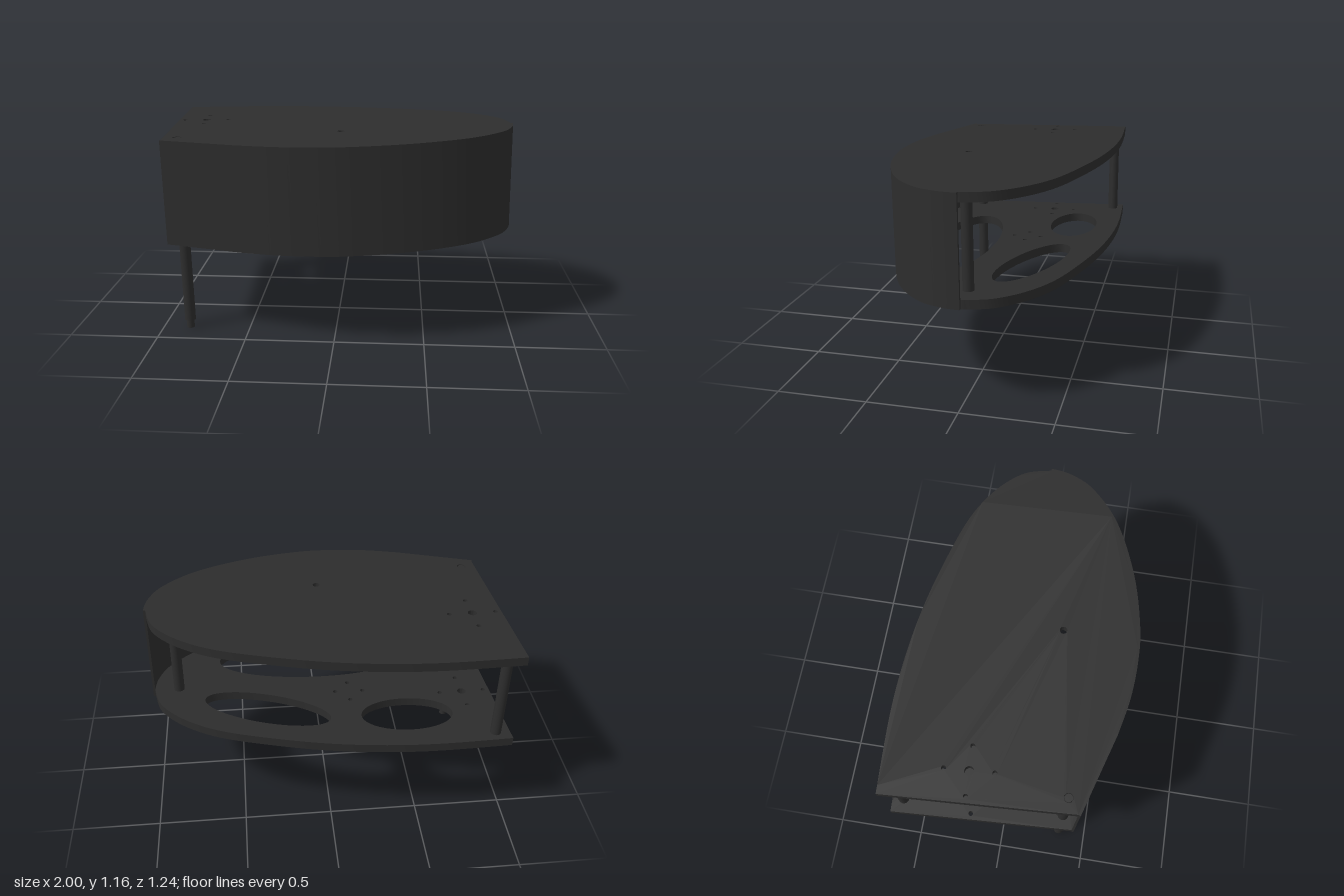
import * as THREE from 'three';
import { toCreasedNormals } from 'three/addons/utils/BufferGeometryUtils.js';

const V = (x, z) => new THREE.Vector2(x, z);

// Plan points are (x, z); shapes use (x, -z) so that extrusion goes upwards.
const toShape = pts => new THREE.Shape(pts.map(p => V(p.x, -p.y)));

function extrude(shape, bottom, top) {
  const geo = new THREE.ExtrudeGeometry(shape, { depth: top - bottom, bevelEnabled: false, curveSegments: 32 });
  geo.rotateX(-Math.PI / 2).translate(0, bottom, 0);
  return toCreasedNormals(geo, 0.5);
}

function addHole(shape, x, z, rx, rz = rx, angle = 0) {
  const hole = new THREE.Path();
  hole.absellipse(x, -z, rx, rz, 0, Math.PI * 2, true, -angle);
  shape.holes.push(hole);
}

export function createModel() {
  const model = new THREE.Group();
  const body = new THREE.Group();
  body.name = 'tiltedBody';
  body.rotation.set(0.015, 0, 0.017);
  body.position.set(0.019, 0, -0.017);
  model.add(body);

  const dark = new THREE.MeshStandardMaterial({ color: 0x2d2d2d });
  dark.name = 'charcoal';
  const add = (name, geo) => {
    const mesh = new THREE.Mesh(geo, dark);
    mesh.name = name;
    body.add(mesh);
  };

  // Plate outline: straight cut at -x, curved front and back edges
  const frontCurve = [
    V(-0.94, 0.415),
    ...new THREE.SplineCurve([
      V(-0.5, 0.545), V(-0.3, 0.586), V(-0.1, 0.601), V(0.1, 0.59), V(0.4, 0.522), V(0.7, 0.392),
      V(0.885, 0.235), V(0.957, 0.1), V(0.975, -0.01),
    ]).getPoints(48),
  ];
  const backCurve = new THREE.SplineCurve([
    V(0.975, -0.01), V(0.93, -0.16), V(0.8, -0.3), V(0.6, -0.415), V(0.3, -0.505), V(0, -0.57),
    V(-0.3, -0.606), V(-0.6, -0.616), V(-1, -0.6),
  ]).getPoints(48);
  const outline = [...frontCurve, ...backCurve.slice(1)];

  const mountHoles = shape => {
    addHole(shape, -0.81, -0.16, 0.025);
    [[-0.815, -0.29], [-0.94, -0.155], [-0.68, -0.165], [-0.8, -0.03]]
      .forEach(([x, z]) => addHole(shape, x, z, 0.013));
  };

  // Top plate
  const topShape = toShape(outline);
  mountHoles(topShape);
  addHole(topShape, 0.02, 0.2, 0.02);
  addHole(topShape, -0.864, 0.355, 0.025);
  add('topPlate', extrude(topShape, 1.09, 1.14));

  // Bottom plate with three large oval openings and a second screw pattern
  const bottomShape = toShape(outline);
  mountHoles(bottomShape);
  addHole(bottomShape, -0.455, -0.345, 0.26, 0.14);
  addHole(bottomShape, 0.33, -0.24, 0.37, 0.125, 0.33);
  addHole(bottomShape, 0.03, 0.24, 0.57, 0.195);
  for (const [dx, dz] of [[-0.08, 0], [0.08, 0], [0, -0.08], [0, 0.08]])
    addHole(bottomShape, -0.15 + dx, -0.11 + dz, 0.013);
  add('bottomPlate', extrude(bottomShape, 0.55, 0.6));

  // Thin wall wrapped around the front edge of both plates
  const outer = frontCurve.map((p, i) => {
    const a = frontCurve[Math.max(i - 1, 0)];
    const b = frontCurve[Math.min(i + 1, frontCurve.length - 1)];
    const t = b.clone().sub(a).normalize();
    return V(p.x - t.y * 0.013, p.y + t.x * 0.013);
  });
  add('frontWall', extrude(toShape([...frontCurve, ...outer.reverse()]), 0.55, 1.14));

  // Round posts and the single long leg
  const rod = (name, x, z, r, bottom, top) =>
    add(name, new THREE.CylinderGeometry(r, r, top - bottom, 32).translate(x, (top + bottom) / 2, z));
  rod('backPost', -0.915, -0.54, 0.03, 0.6, 1.09);
  rod('sidePost', 0.835, -0.012, 0.03, 0.6, 1.09);
  rod('innerPost', -0.864, 0.355, 0.03, 0.6, 1.09);
  rod('postPeg', -0.864, 0.355, 0.022, 1.08, 1.138);
  rod('leg', -0.864, 0.357, 0.031, 0.07, 0.55);
  rod('legTip', -0.864, 0.357, 0.022, 0.021, 0.07);

  return model;
}
